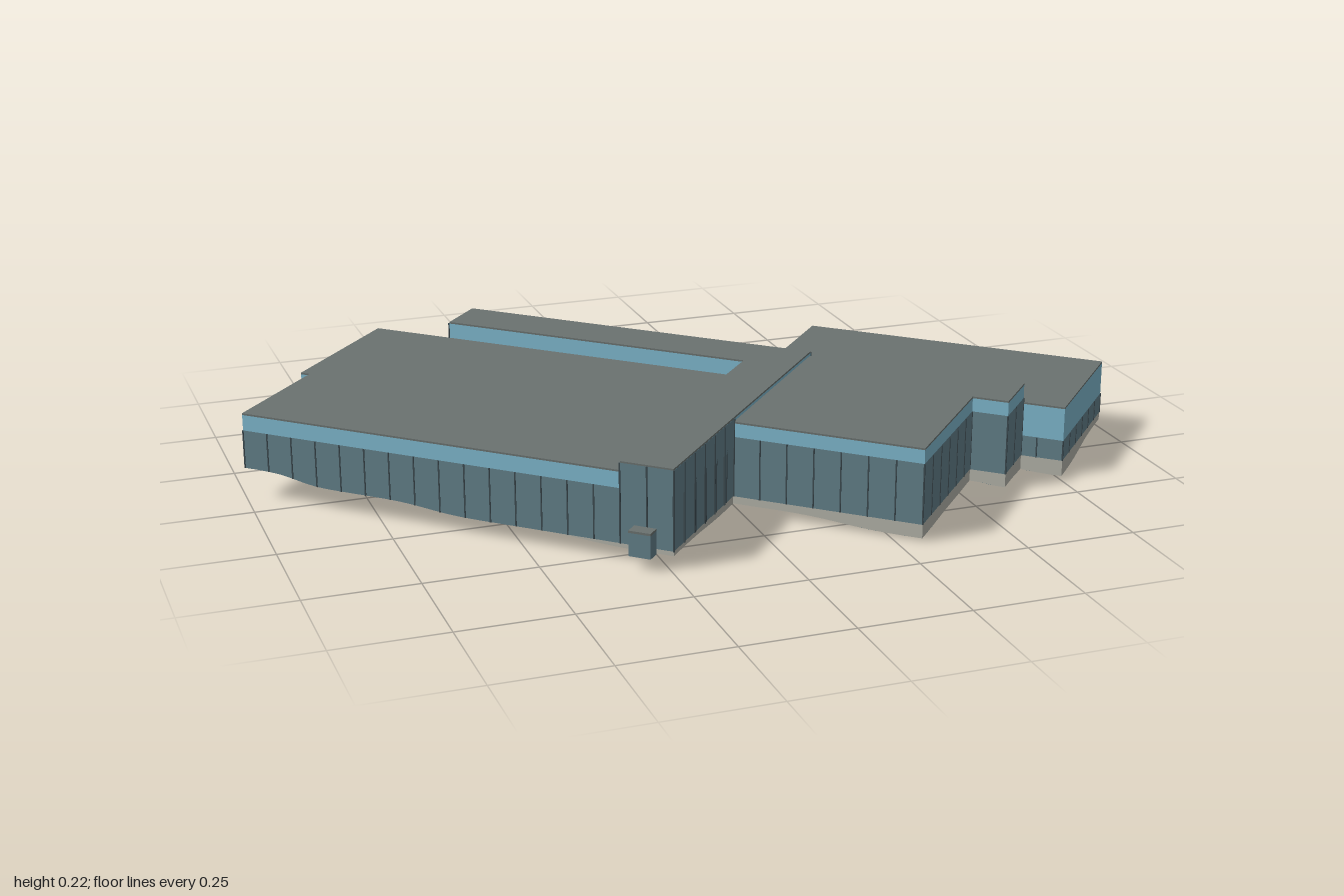
import * as THREE from 'three';

const ANGLE = THREE.MathUtils.degToRad(42.2);
const C = Math.cos(ANGLE), S = Math.sin(ANGLE);
const PLINTH = 0.037;

const mat = (color, side = THREE.FrontSide) =>
  new THREE.MeshStandardMaterial({ color, side, flatShading: true });

// Ground heights [x, z, y]; the walls and plinth follow the slope between them
const GROUND = [
  [-1, -0.09, 0.072], [-0.8, 0.09, 0.052], [-0.53, 0.34, 0.037], [-0.24, 0.6, 0.027],
  [0, 0.355, 0.02], [0.3, 0.64, 0.006], [0.54, 0.38, 0.01], [0.6, 0.43, 0.006],
  [0.76, 0.4, 0], [1, 0.14, 0.02], [0.46, -0.35, 0.032], [0.22, -0.09, 0.036],
  [-0.335, -0.605, 0.047], [-0.565, -0.645, 0.052], [-0.8, -0.37, 0.06],
  [-0.3, -0.1, 0.042], [0.2, 0.15, 0.026], [0.7, 0, 0.024],
];

// u, w run along the two sides of the building
function groundAt(u, w) {
  const x = C * u - S * w, z = S * u + C * w;
  let sum = 0, total = 0;
  for (const [gx, gz, gy] of GROUND) {
    const k = 1 / (Math.pow((x - gx) ** 2 + (z - gz) ** 2, 1.5) + 1e-7);
    sum += k * gy;
    total += k;
  }
  return sum / total;
}

// Rectangles u0, u1, w0, w1, with the underside and top of the roof slab
const BLOCKS = [
  { name: 'frontHall', r: [-0.8, 0.105, 0.267, 0.606], base: 0.16, top: 0.2 },
  { name: 'middleHall', r: [-0.854, 0.105, -0.098, 0.267], base: 0.15, top: 0.18 },
  { name: 'corridorArm', r: [-0.656, 0.105, -0.218, -0.098], base: 0.16, top: 0.22 },
  { name: 'corridorHead', r: [0.105, 0.225, -0.218, 0.606], base: 0.16, top: 0.22 },
  { name: 'entranceBlock', r: [0.225, 0.656, -0.216, 0.27], base: 0.175, top: 0.21 },
  { name: 'entranceBay', r: [0.656, 0.738, -0.216, -0.085], base: 0.175, top: 0.21 },
  { name: 'sideWing', r: [0.106, 0.834, -0.568, -0.216], base: 0.085, top: 0.165 },
];

export function createModel() {
  const model = new THREE.Group();
  const building = new THREE.Group();
  building.name = 'building';
  building.rotation.y = -ANGLE;
  model.add(building);

  const blue = mat(0x7fb9cf), roofGrey = mat(0x6a7270);
  const wallGrey = mat(0x63808a, THREE.DoubleSide);
  const plinthGrey = mat(0xb4b4aa, THREE.DoubleSide);
  const finGrey = mat(0x3c4a50);
  const underside = mat(0x3a5a63, THREE.DoubleSide);

  const add = (parent, name, geometry, material) => {
    const mesh = new THREE.Mesh(geometry, material);
    mesh.name = name;
    parent.add(mesh);
    return mesh;
  };

  const box = (parent, name, [u0, u1, w0, w1], y0, y1, material) =>
    add(parent, name, new THREE.BoxGeometry(u1 - u0, y1 - y0, w1 - w0), material)
      .position.set((u0 + u1) / 2, (y0 + y1) / 2, (w0 + w1) / 2);

  // Upright strip along a line, with bottom and top heights given by functions
  function strip(parent, name, [ua, wa], [ub, wb], bottom, top, material) {
    const n = Math.max(2, Math.ceil(Math.hypot(ub - ua, wb - wa) / 0.03));
    const geometry = new THREE.PlaneGeometry(1, 1, n, 1);
    const p = geometry.attributes.position;
    for (let i = 0; i < p.count; i++) {
      const t = p.getX(i) + 0.5;
      const u = ua + (ub - ua) * t, w = wa + (wb - wa) * t;
      p.setXYZ(i, u, (p.getY(i) > 0 ? top : bottom)(u, w), w);
    }
    geometry.computeVertexNormals();
    add(parent, name, geometry, material);
  }

  const wallFoot = (u, w) => Math.max(PLINTH, groundAt(u, w));
  const plinthFoot = (u, w) => Math.min(PLINTH, groundAt(u, w));

  // Slim vertical joints between facade panels
  function joints(parent, [ua, wa], [ub, wb], top) {
    const n = Math.max(1, Math.round(Math.hypot(ub - ua, wb - wa) / 0.06));
    for (let i = 0; i <= n; i++) {
      const u = ua + (ub - ua) * i / n, w = wa + (wb - wa) * i / n;
      box(parent, 'panelJoint', [u - 0.0015, u + 0.0015, w - 0.0015, w + 0.0015],
        wallFoot(u, w), top, finGrey);
    }
  }

  // Sloping underside of the plinth, only where the ground lies below it
  function floor(parent, [u0, u1, w0, w1]) {
    const nu = Math.ceil((u1 - u0) / 0.02), nw = Math.ceil((w1 - w0) / 0.02);
    const geometry = new THREE.PlaneGeometry(u1 - u0, w1 - w0, nu, nw);
    const p = geometry.attributes.position;
    for (let i = 0; i < p.count; i++) {
      const u = p.getX(i) + (u0 + u1) / 2, w = (w0 + w1) / 2 - p.getY(i);
      p.setXYZ(i, u, groundAt(u, w), w);
    }
    const index = geometry.index.array, kept = [];
    for (let i = 0; i < index.length; i += 3) {
      const tri = [index[i], index[i + 1], index[i + 2]];
      if (tri.reduce((a, k) => a + p.getY(k), 0) / 3 < PLINTH) kept.push(...tri);
    }
    if (!kept.length) return;
    geometry.setIndex(kept);
    geometry.computeVertexNormals();
    add(parent, 'plinthUnderside', geometry, underside);
  }

  for (const { name, r, base, top } of BLOCKS) {
    const block = new THREE.Group();
    block.name = name;
    building.add(block);
    const [u0, u1, w0, w1] = r;
    box(block, 'roofSlab', r, base, top - 0.004, blue);
    box(block, 'roof', r, top - 0.004, top, roofGrey);
    const corners = [[u0, w0], [u1, w0], [u1, w1], [u0, w1]];
    corners.forEach((a, i) => {
      const b = corners[(i + 1) % 4];
      strip(block, 'wall', a, b, wallFoot, () => base, wallGrey);
      strip(block, 'plinth', a, b, plinthFoot, () => PLINTH, plinthGrey);
      joints(block, a, b, base);
    });
    floor(block, r);
  }

  // Facade panels running up to the roof on the outer sides of the corridor
  const cladding = [
    [[-0.657, -0.2195], [0.226, -0.2195]],
    [[-0.6575, -0.2195], [-0.6575, -0.098]],
    [[0.105, 0.6075], [0.2265, 0.6075]],
    [[0.2265, 0.27], [0.2265, 0.6075]],
  ];
  for (const [a, b] of cladding) {
    strip(building, 'cladding', a, b, () => 0.15, () => 0.217, wallGrey);
    joints(building, a, b, 0.217);
  }

  // Small annex by the front corner
  const annex = [0.139, 0.189, 0.612, 0.643];
  box(building, 'annex', annex, 0.028, 0.08, wallGrey);
  box(building, 'annexRoof', annex, 0.08, 0.085, roofGrey);

  return model;
}
